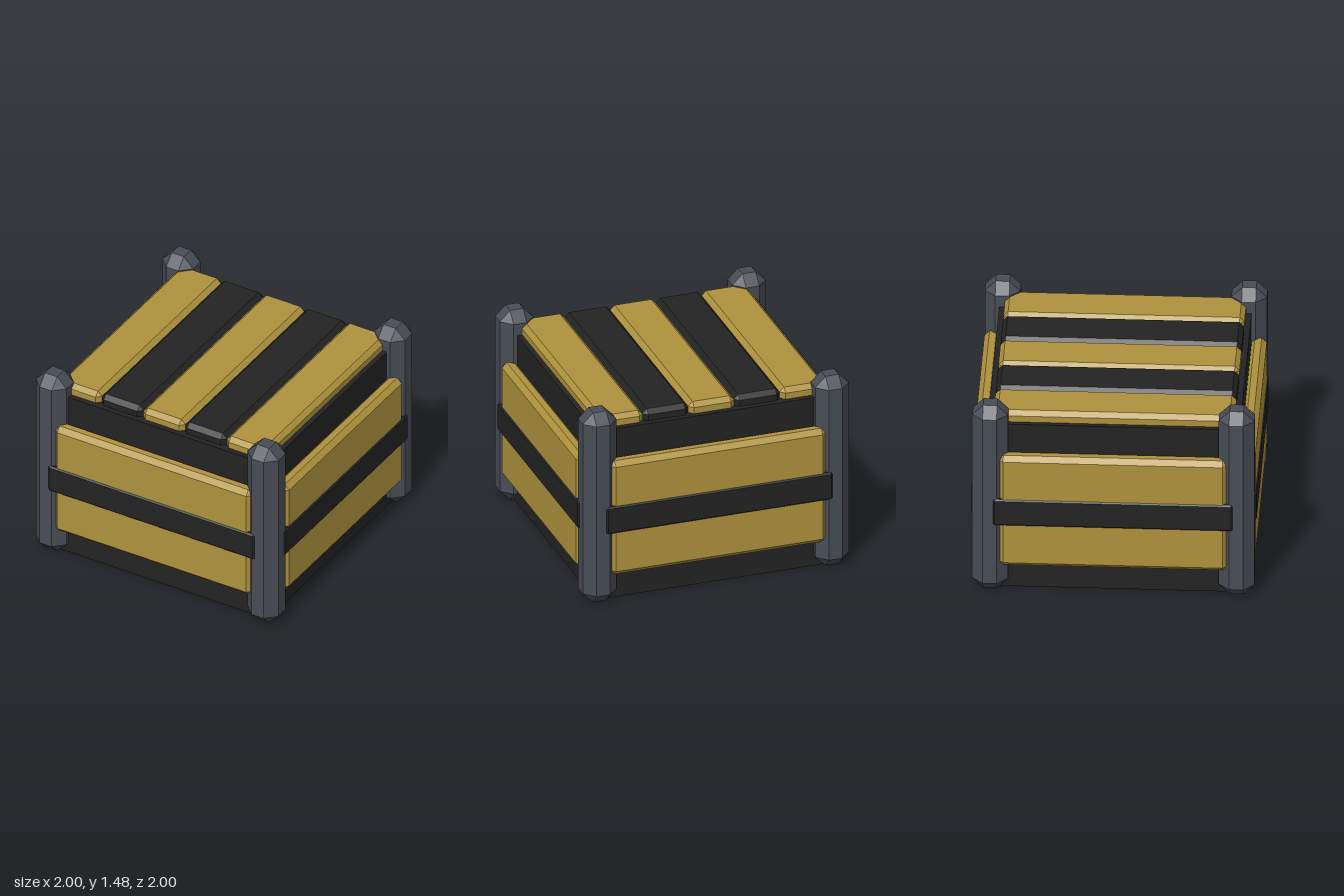
import * as THREE from 'three';
import { ConvexGeometry } from 'three/addons/geometries/ConvexGeometry.js';

const material = (name, color) => {
  const m = new THREE.MeshStandardMaterial({ color });
  m.name = name;
  return m;
};

// Box with every edge cut at 45 degrees: the hull of six inset faces
function chamferedBox(w, h, d, c) {
  const half = [w / 2, h / 2, d / 2];
  const points = [];
  for (const sx of [-1, 1]) for (const sy of [-1, 1]) for (const sz of [-1, 1]) {
    for (let axis = 0; axis < 3; axis++) {
      const p = half.map((v, i) => (i === axis ? v : v - c));
      points.push(new THREE.Vector3(p[0] * sx, p[1] * sy, p[2] * sz));
    }
  }
  return new ConvexGeometry(points);
}

export function createModel() {
  const gold = material('gold', 0xae923c);
  const black = material('black', 0x232323);
  const steel = material('steel', 0x484c55);
  const crate = new THREE.Group();
  crate.name = 'crate';

  const add = (parent, name, geometry, mat, x, y, z) => {
    const mesh = new THREE.Mesh(geometry, mat);
    mesh.name = name;
    mesh.position.set(x, y, z);
    parent.add(mesh);
  };

  // Dark core
  add(crate, 'body', new THREE.BoxGeometry(1.77, 1.31, 1.77), black, 0, 0.655, 0);

  // Lid planks in alternating colours
  const plank = chamferedBox(0.34, 0.14, 1.69, 0.033);
  for (let i = 0; i < 5; i++) {
    add(crate, 'lidPlank', plank, i % 2 ? black : gold, (i - 2) * 0.34, 1.32, 0);
  }

  // Panel and band on each of the four sides
  const panel = chamferedBox(1.61, 0.885, 0.12, 0.036);
  const band = chamferedBox(1.68, 0.21, 0.12, 0.012);
  for (let i = 0; i < 4; i++) {
    const side = new THREE.Group();
    side.name = 'side';
    side.rotation.y = i * Math.PI / 2;
    add(side, 'sidePanel', panel, gold, 0, 0.655, 0.93);
    add(side, 'sideBand', band, black, 0, 0.655, 0.94);
    crate.add(side);
  }

  // Corner posts
  const post = chamferedBox(0.25, 1.475, 0.25, 0.076);
  for (const x of [-0.864, 0.864]) for (const z of [-0.864, 0.864]) {
    add(crate, 'cornerPost', post, steel, x, 0.7375, z);
  }
  return crate;
}
